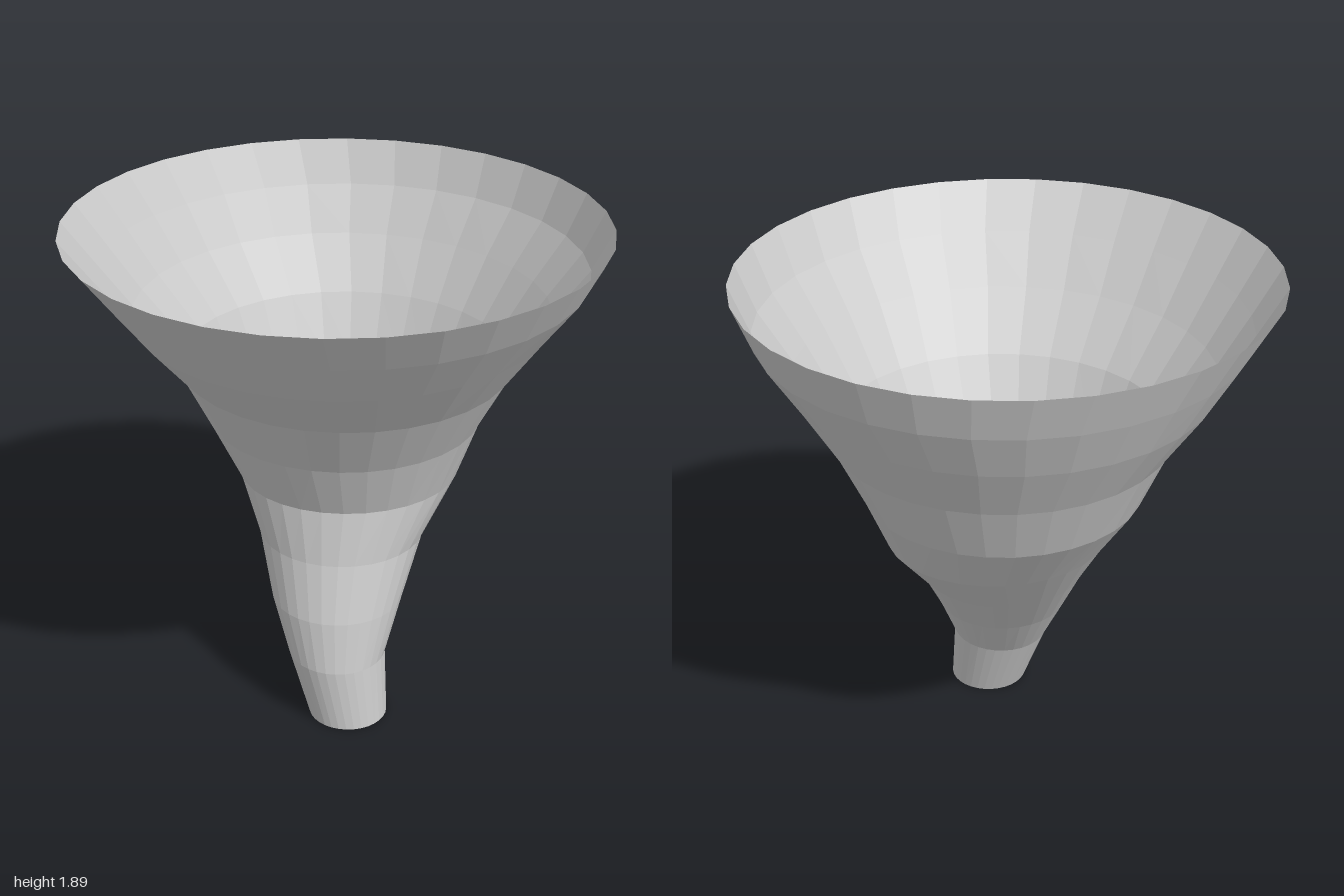
import * as THREE from 'three';

// Funnel rings from spout to rim: [y, centre x, centre z, radius x, radius z]
const RINGS = [
  [0, 0, 0.29, 0.15, 0.15],
  [0.25, -0.035, 0.235, 0.185, 0.195],
  [0.45, -0.02, 0.15, 0.25, 0.25],
  [0.67, 0.015, 0.03, 0.315, 0.315],
  [0.88, 0.06, -0.07, 0.42, 0.39],
  [1.1, 0.05, -0.11, 0.52, 0.52],
  [1.33, 0.05, -0.09, 0.63, 0.64],
  [1.54, 0.03, -0.06, 0.78, 0.79],
  [1.72, 0.025, -0.03, 0.905, 0.905],
  [1.89, 0, 0, 1, 1],
];
const SIDES = 32;

// Joins the rings into an open, faceted skin
function loft(rings, sides) {
  const positions = [];
  const index = [];
  rings.forEach(([y, cx, cz, rx, rz], i) => {
    for (let j = 0; j < sides; j++) {
      const a = (j / sides) * Math.PI * 2;
      positions.push(cx + rx * Math.sin(a), y, cz + rz * Math.cos(a));
      if (i === rings.length - 1) continue;
      const p = i * sides + j;
      const q = i * sides + ((j + 1) % sides);
      index.push(p, q, q + sides, p, q + sides, p + sides);
    }
  });
  const geometry = new THREE.BufferGeometry();
  geometry.setAttribute('position', new THREE.Float32BufferAttribute(positions, 3));
  geometry.setIndex(index);
  geometry.computeVertexNormals();
  return geometry;
}

export function createModel() {
  const group = new THREE.Group();
  group.name = 'bentFunnel';

  // Thin shell, open at the rim and the spout
  const material = new THREE.MeshStandardMaterial({
    color: 0xcccccc, flatShading: true, side: THREE.DoubleSide,
  });
  const shell = new THREE.Mesh(loft(RINGS, SIDES), material);
  shell.name = 'funnelShell';
  group.add(shell);
  return group;
}
